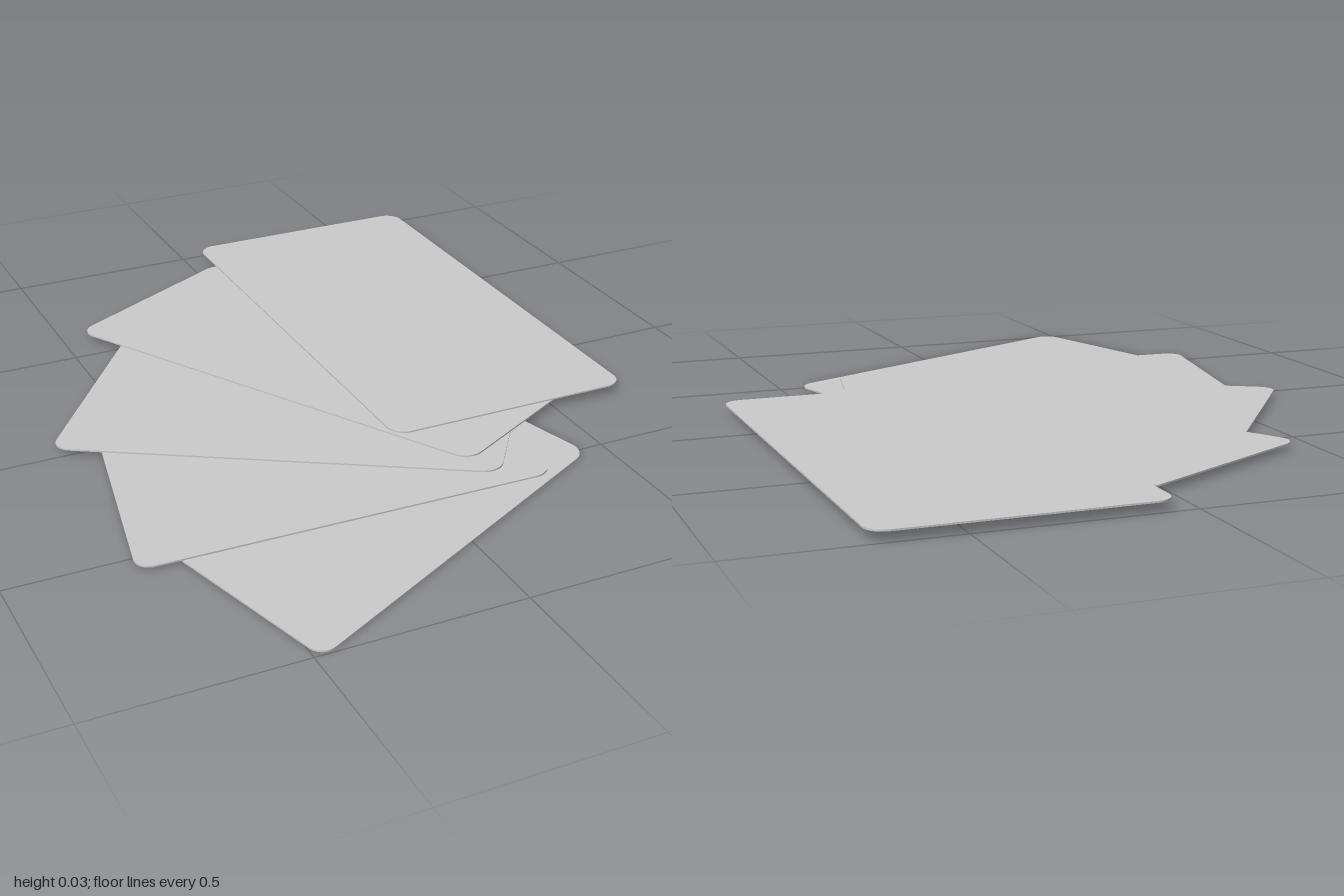
import * as THREE from 'three';

const THICKNESS = 0.004;
const SPACING = 0.0055;
const RADIUS = 0.045;

// Each card, bottom to top: far-left corner [x, z], short edge [x, z], long edge [x, z]
const CARDS = [
  { corner: [-0.62, 0.52], across: [0.135, 0.49], along: [0.93, -0.49] },
  { corner: [-0.60, -0.025], across: [-0.115, 0.585], along: [1.03, 0.02] },
  { corner: [-0.72, -0.025], across: [0.37, -0.50], along: [0.92, 0.56] },
  { corner: [-0.45, -0.61], across: [0.51, -0.27], along: [0.61, 1.07] },
  { corner: [0.05, -1.0], across: [0.655, 0], along: [0, 1.285] },
];

// Rounded rectangle centred on the origin
function roundedRect(w, h, r) {
  const x = w / 2, y = h / 2;
  const s = new THREE.Shape();
  s.moveTo(-x + r, -y);
  s.lineTo(x - r, -y);
  s.absarc(x - r, -y + r, r, -Math.PI / 2, 0);
  s.lineTo(x, y - r);
  s.absarc(x - r, y - r, r, 0, Math.PI / 2);
  s.lineTo(-x + r, y);
  s.absarc(-x + r, y - r, r, Math.PI / 2, Math.PI);
  s.lineTo(-x, -y + r);
  s.absarc(-x + r, -y + r, r, Math.PI, Math.PI * 1.5);
  return s;
}

// Thin slab laid flat, its edges following the two given directions
function cardGeometry({ corner, across, along }, y) {
  let u = new THREE.Vector3(across[0], 0, across[1]);
  const v = new THREE.Vector3(along[0], 0, along[1]);
  const centre = new THREE.Vector3(corner[0], y, corner[1])
    .addScaledVector(u, 0.5).addScaledVector(v, 0.5);
  // keep the frame right-handed so faces point outwards
  if (new THREE.Vector3().crossVectors(u, v).y > 0) u = u.negate();
  const geometry = new THREE.ExtrudeGeometry(roundedRect(u.length(), v.length(), RADIUS), {
    depth: THICKNESS, bevelEnabled: false, curveSegments: 8,
  });
  const frame = new THREE.Matrix4().makeBasis(
    u.normalize(), v.normalize().negate(), new THREE.Vector3(0, 1, 0)).setPosition(centre);
  return geometry.applyMatrix4(frame);
}

export function createModel() {
  const group = new THREE.Group();
  group.name = 'cardFan';
  const material = new THREE.MeshStandardMaterial({ color: 0xcccccc });
  CARDS.forEach((card, i) => {
    const mesh = new THREE.Mesh(cardGeometry(card, i * SPACING), material);
    mesh.name = `card${i + 1}`;
    group.add(mesh);
  });
  return group;
}
